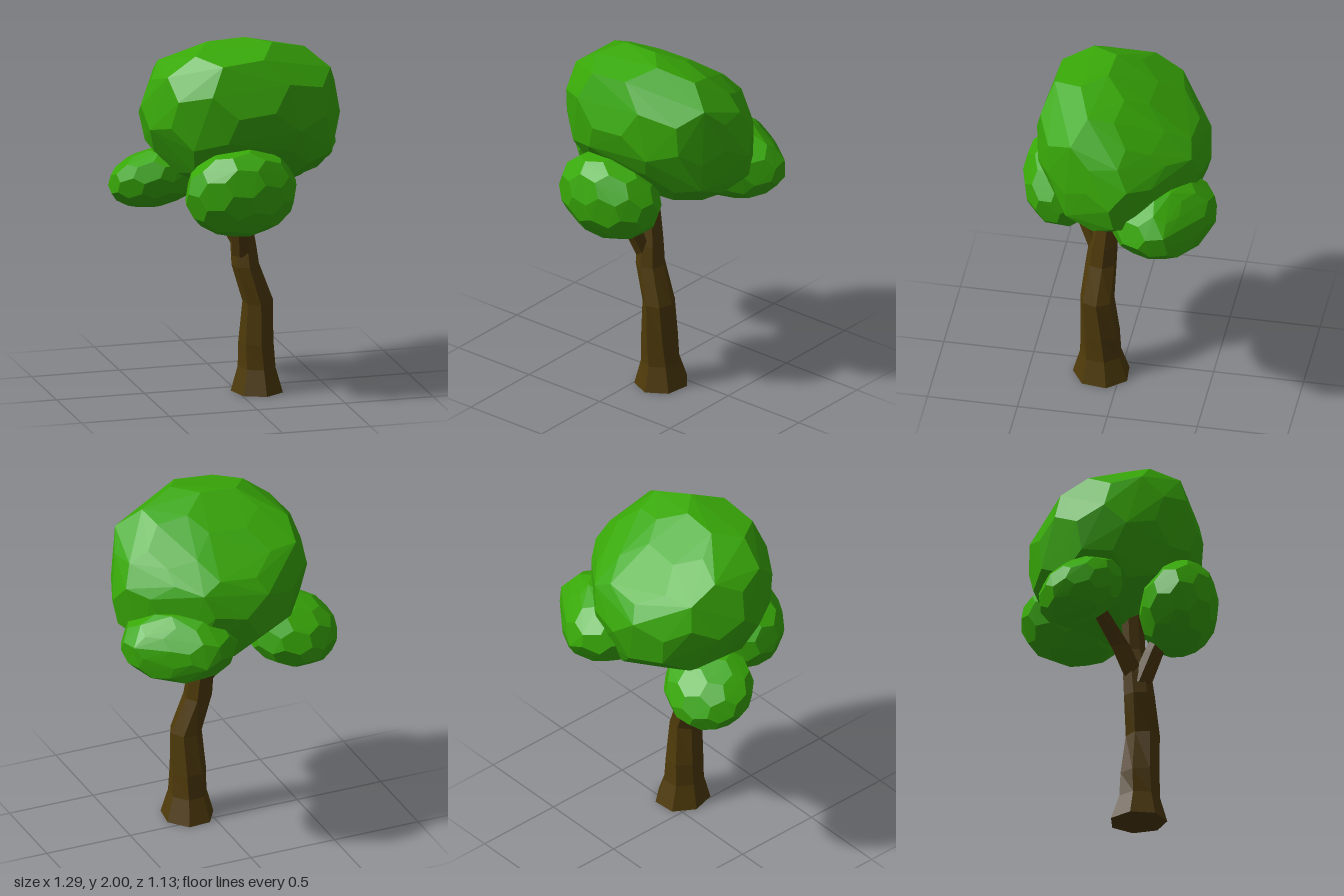
import * as THREE from 'three';
import { ConvexGeometry } from 'three/addons/geometries/ConvexGeometry.js';

const bark = new THREE.MeshStandardMaterial({ color: 0x4e3a0a, flatShading: true });
const leaves = new THREE.MeshStandardMaterial({ color: 0x38a808, flatShading: true });

// Faceted limb through horizontal, slightly oval rings, each [x, y, z, radius, twist]
function limb(name, rings, sides) {
  const pos = [];
  const corner = ([x, y, z, r, twist = 0], j) => {
    const a = (j / sides) * Math.PI * 2 + twist;
    return [x + r * Math.cos(a), y, z + 1.1 * r * Math.sin(a)];
  };
  const last = rings.length - 1;
  for (let j = 0; j < sides; j++) {
    for (let i = 0; i < last; i++) {
      const a = corner(rings[i], j), b = corner(rings[i + 1], j);
      const c = corner(rings[i + 1], j + 1), d = corner(rings[i], j + 1);
      pos.push(...a, ...b, ...c, ...a, ...c, ...d);
    }
    // end caps
    pos.push(...rings[0].slice(0, 3), ...corner(rings[0], j), ...corner(rings[0], j + 1));
    pos.push(...rings[last].slice(0, 3), ...corner(rings[last], j + 1), ...corner(rings[last], j));
  }
  const geo = new THREE.BufferGeometry();
  geo.setAttribute('position', new THREE.Float32BufferAttribute(pos, 3));
  geo.computeVertexNormals();
  const mesh = new THREE.Mesh(geo, bark);
  mesh.name = name;
  return mesh;
}

// Scale and shift points so that they exactly fill the box min..max
function fit(points, min, max) {
  const box = new THREE.Box3().setFromPoints(points);
  const size = box.getSize(new THREE.Vector3());
  const target = new THREE.Vector3().subVectors(max, min);
  points.forEach(p => p.sub(box.min).divide(size).multiply(target).add(min));
}

// Leaf clump: hull of rounded points filling a box, with pentagon and hexagon facets.
// power squares off the side outline, lean [x, z] tilts it, each swell [nx, ny, nz, amount]
// pushes one side out and each cut [nx, ny, nz, offset] flattens one, in box units of -1..1.
function clump(name, min, max, { turn, power = 2.2, lean = [0, 0], swells = [], cuts = [] }) {
  const base = new THREE.IcosahedronGeometry(1, 1).attributes.position;
  const rotation = new THREE.Euler(turn, turn * 1.7, turn * 0.6);
  const points = [];
  for (let i = 0; i < base.count; i += 3) {
    const p = new THREE.Vector3();
    for (let k = 0; k < 3; k++) p.add(new THREE.Vector3().fromBufferAttribute(base, i + k));
    p.applyEuler(rotation);
    const side = (Math.abs(p.y) ** power + Math.abs(p.z) ** power) ** (1 / power);
    p.divideScalar(Math.hypot(p.x, side));
    p.y += lean[0] * p.x + lean[1] * p.z;
    points.push(p);
  }
  fit(points, new THREE.Vector3(-1, -1, -1), new THREE.Vector3(1, 1, 1));
  for (const [nx, ny, nz, amount] of swells) {
    const n = new THREE.Vector3(nx, ny, nz);
    points.forEach(p => p.addScaledVector(n, amount * Math.max(0, p.dot(n)) ** 2));
  }
  for (const [nx, ny, nz, offset] of cuts) {
    const n = new THREE.Vector3(nx, ny, nz);
    // a trace of the overshoot is kept so the flattened side stays domed
    points.forEach(p => p.addScaledVector(n, -0.78 * Math.max(0, p.dot(n) - offset)));
  }
  fit(points, new THREE.Vector3(...min), new THREE.Vector3(...max));
  const mesh = new THREE.Mesh(new ConvexGeometry(points), leaves);
  mesh.name = name;
  return mesh;
}

export function createModel() {
  const tree = new THREE.Group();
  tree.name = 'tree';

  // Trunk with flared foot, bending towards the canopy
  tree.add(limb('trunk', [
    [0.113, 0, 0.1, 0.146, 1.5],
    [0.11, 0.14, 0.105, 0.106, 1.5],
    [0.107, 0.28, 0.11, 0.1, 1.6],
    [0.112, 0.51, 0.127, 0.087, 1.7],
    [0.045, 0.72, 0.115, 0.079, 1.6],
    [0.035, 0.84, 0.105, 0.073, 1.6],
    [0.025, 0.98, 0.09, 0.058, 1.6],
    [-0.02, 1.3, 0.08, 0.052, 1.6],
  ], 7));

  // Branches into the lower clumps
  tree.add(limb('frontBranch', [
    [0.02, 0.78, 0.125, 0.056], [-0.01, 0.95, 0.2, 0.052], [-0.05, 1.15, 0.3, 0.042],
  ], 6));
  tree.add(limb('rightBranch', [
    [0.03, 0.82, 0.1, 0.056], [-0.05, 0.98, 0.03, 0.052], [-0.28, 1.18, -0.1, 0.04],
  ], 6));

  // Canopy: main crown sloping down to the back, three clumps below it
  tree.add(clump('mainCrown', [-0.52, 1.13, -0.49], [0.62, 2, 0.46], {
    turn: 0.35, power: 3,
    swells: [[-0.55, 0.6, 0.58, 0.1]],
    cuts: [
      [0, 0.805, -0.594, 0.66], [0, -0.623, 0.783, 0.83],
      [0.72, 0, -0.69, 0.78], [0.97, 0.24, 0, 0.86],
      [0.55, 0.65, -0.52, 0.72], [0.92, 0, 0.38, 0.87],
    ],
  }));
  tree.add(clump('frontClump', [-0.36, 0.945, 0.13], [0.26, 1.45, 0.565], { turn: 0.8, lean: [0, 0.12] }));
  tree.add(clump('rightClump', [-0.65, 1, -0.38], [-0.13, 1.36, 0.08], { turn: 1.3, lean: [0.15, 0.35] }));
  tree.add(clump('backLeftClump', [0.02, 1.11, -0.565], [0.645, 1.515, 0], {
    turn: 2.1,
    swells: [[0.71, 0, 0.71, 0.08], [-0.71, 0, -0.71, 0.08]],
    cuts: [[0.52, 0.5, -0.69, 0.75], [0.61, 0, -0.79, 0.76]],
  }));
  return tree;
}
